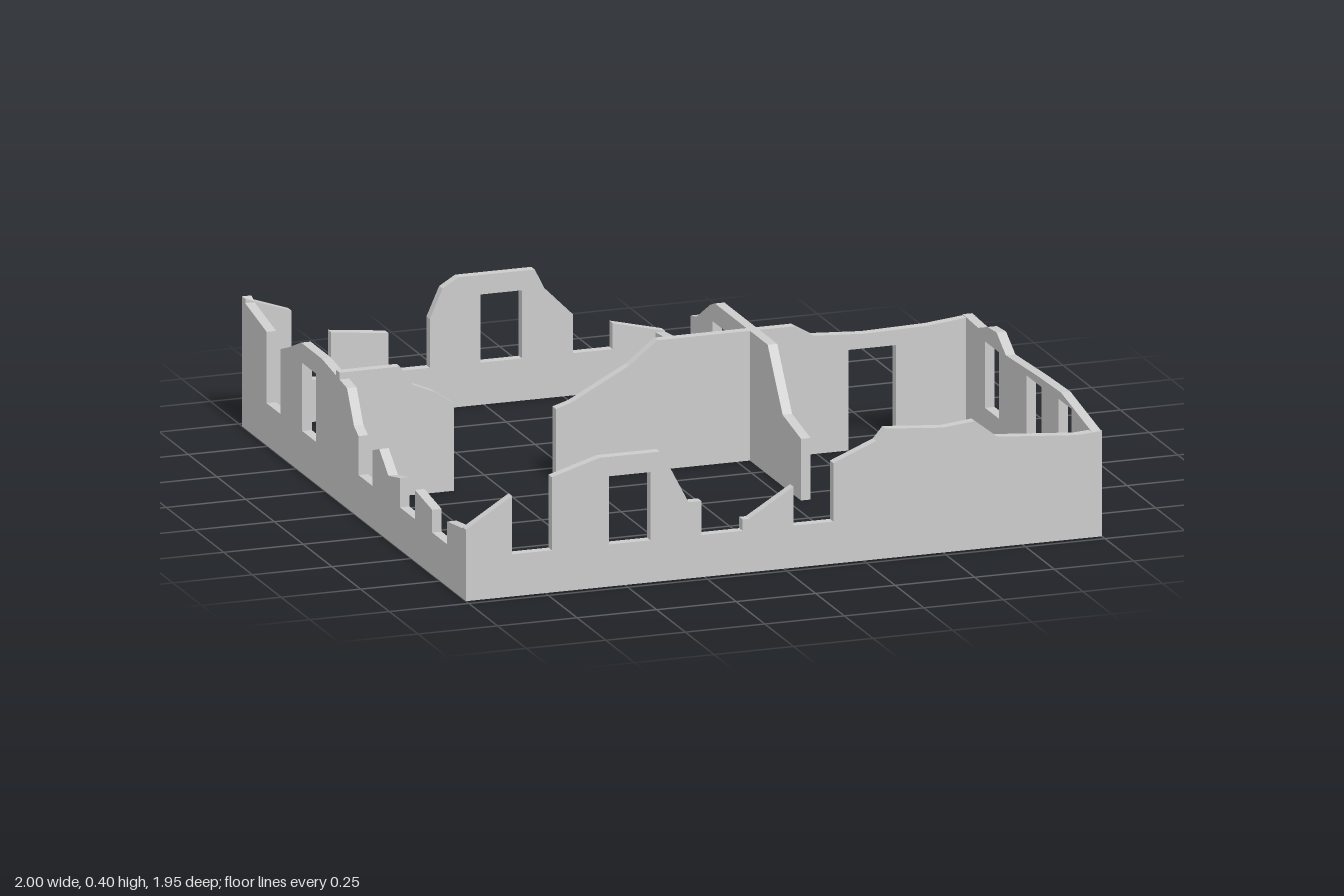
import * as THREE from 'three';

const T = 0.03; // wall thickness
const material = new THREE.MeshStandardMaterial({ color: 0xcccccc, flatShading: true });

// A ruined wall: broken top outline [position, height], and openings [from, to, bottom, top].
// An opening with bottom 0 is a doorway and is cut through the base line.
function makeWall(name, axis, offset, top, openings = []) {
  const s = axis === 'x' ? 1 : -1;
  const shape = new THREE.Shape();
  const first = top[0][0], last = top[top.length - 1][0];
  shape.moveTo(s * first, 0);
  top.forEach(([p, y]) => shape.lineTo(s * p, y));
  shape.lineTo(s * last, 0);
  for (const [a, b, low, high] of [...openings].sort((m, n) => n[0] - m[0])) {
    const corners = [[b, low], [b, high], [a, high], [a, low]].map(([p, y]) => new THREE.Vector2(s * p, y));
    if (low === 0) corners.forEach((c) => shape.lineTo(c.x, c.y));
    else shape.holes.push(new THREE.Path(corners));
  }
  shape.closePath();
  const geometry = new THREE.ExtrudeGeometry(shape, { depth: T, bevelEnabled: false });
  const mesh = new THREE.Mesh(geometry, material);
  mesh.name = name;
  if (axis === 'x') {
    mesh.position.z = offset;
  } else {
    mesh.rotation.y = Math.PI / 2; // shape runs along -z
    mesh.position.x = offset;
  }
  return mesh;
}

// Window whose lintel has fallen: an open notch down to the sill
const notch = (a, ya, b, yb, sill = 0.13) => [[a, ya], [a, sill], [b, sill], [b, yb]];

export function createModel() {
  const group = new THREE.Group();
  group.name = 'ruinedHouse';

  // Outer walls
  group.add(makeWall('frontWall', 'x', 0.975 - T, [
    [-1, 0.22], ...notch(-0.855, 0.31, -0.73, 0.355), [-0.58, 0.4], [-0.39, 0.4], [-0.37, 0.37],
    [-0.3, 0.235], ...notch(-0.26, 0.235, -0.13, 0.165), [-0.11, 0.165],
    ...notch(0.03, 0.25, 0.155, 0.31), [0.29, 0.365], [0.32, 0.4], [0.5, 0.385], [0.6, 0.395],
    [0.67, 0.34], [0.92, 0.32], [1, 0.325],
  ], [[-0.55, -0.42, 0.13, 0.34]]));

  group.add(makeWall('backWall', 'x', -0.975, [
    [-1, 0.4], ...notch(-0.855, 0.35, -0.73, 0.27), ...notch(-0.55, 0.25, -0.42, 0.28),
    [-0.38, 0.37], [-0.33, 0.4], [-0.09, 0.4], [-0.06, 0.34],
    ...notch(0.03, 0.25, 0.155, 0.21), [0.32, 0.17],
  ], [[-0.26, -0.13, 0.13, 0.34]]));

  group.add(makeWall('rightWall', 'z', -1, [
    [-0.975, 0.4], [-0.94, 0.385], ...notch(-0.76, 0.35, -0.64, 0.33), [-0.57, 0.355], [-0.46, 0.4],
    [-0.28, 0.4], [-0.06, 0.37], [0, 0.27], ...notch(0.04, 0.25, 0.16, 0.24), [0.22, 0.26],
    [0.3, 0.2], ...notch(0.4, 0.22, 0.53, 0.22), ...notch(0.68, 0.2, 0.81, 0.2), [0.975, 0.22],
  ], [[-0.45, -0.33, 0.13, 0.34]]));

  group.add(makeWall('leftWall', 'z', 1 - T, [
    [-0.155, 0.375], [-0.02, 0.37], [0.06, 0.395], [0.14, 0.4], [0.22, 0.352],
    [0.5, 0.365], [0.7, 0.37], [0.975, 0.322],
  ], [[0.04, 0.16, 0.14, 0.345], [0.4, 0.53, 0.13, 0.34], [0.68, 0.79, 0.14, 0.345]]));

  // Long wall through the back room corner into the main room
  group.add(makeWall('backRoomWall', 'z', 0.29, [
    [-0.975, 0.165], [-0.82, 0.18], ...notch(-0.76, 0.21, -0.64, 0.305), [-0.59, 0.315],
    [-0.47, 0.385], [-0.43, 0.4], [0.03, 0.4], [0.08, 0.33], [0.16, 0.22], [0.32, 0.19],
  ], [[-0.45, -0.33, 0.13, 0.34]]));

  // Cross wall, broken by a wide gap; its outer end has a doorway
  group.add(makeWall('crossWallStub', 'x', -0.155, [
    [-1, 0.4], [-0.81, 0.4], [-0.77, 0.34], [-0.7, 0.31], [-0.64, 0.27],
  ]));
  group.add(makeWall('crossWall', 'x', -0.155, [
    [-0.32, 0.22], [-0.27, 0.235], [-0.09, 0.33], [0, 0.4], [0.43, 0.4],
    [0.49, 0.365], [0.65, 0.355], [0.85, 0.36], [1, 0.375],
  ], [[0.6, 0.75, 0, 0.31]]));

  return group;
}
